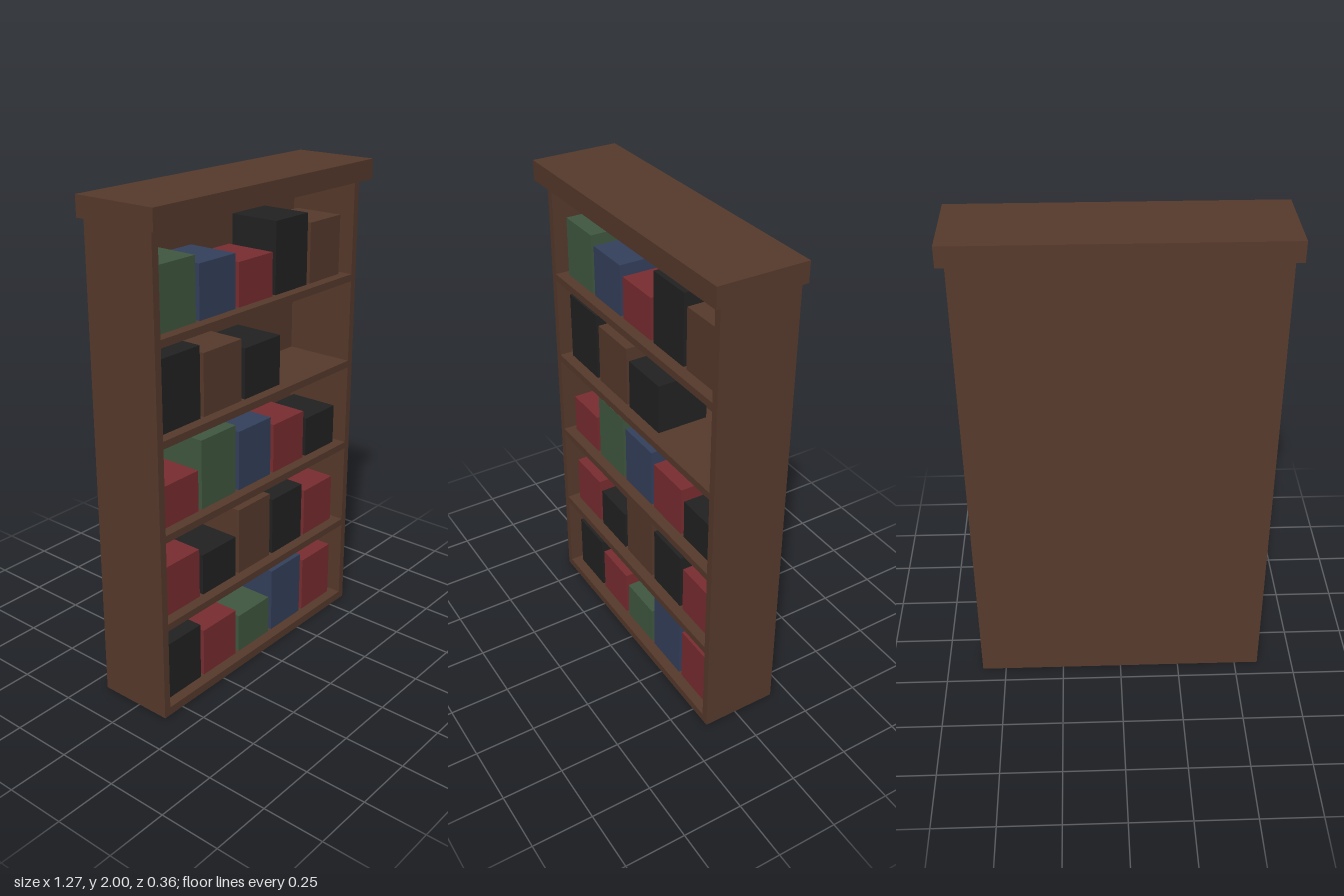
import * as THREE from 'three';

const mat = (name, color) => {
  const m = new THREE.MeshStandardMaterial({ color });
  m.name = name;
  return m;
};

export function createModel() {
  const group = new THREE.Group();
  group.name = 'bookcase';
  const wood = mat('brown wood', 0x573a2c);
  const colours = {
    n: wood,
    k: mat('black cover', 0x222222),
    r: mat('red cover', 0x7a2d30),
    g: mat('green cover', 0x405840),
    b: mat('blue cover', 0x34405c),
  };

  // Box given by its lower and upper limits on each axis
  const box = (name, material, [x0, x1], [y0, y1], [z0, z1]) => {
    const mesh = new THREE.Mesh(new THREE.BoxGeometry(x1 - x0, y1 - y0, z1 - z0), material);
    mesh.position.set((x0 + x1) / 2, (y0 + y1) / 2, (z0 + z1) / 2);
    mesh.name = name;
    group.add(mesh);
  };

  // Carcass
  const back = -0.18, front = 0.14, inner = 0.57;
  box('leftSide', wood, [inner, 0.6], [0, 1.92], [back, front]);
  box('rightSide', wood, [-0.6, -inner], [0, 1.92], [back, front]);
  box('backPanel', wood, [-inner, inner], [0, 1.92], [back, back + 0.02]);
  box('cornice', wood, [-0.633, 0.633], [1.92, 2], [back, 0.18]);

  // Each row of books, bottom to top: colours and heights
  const rows = [
    ['krgbr', [0.245, 0.207, 0.17, 0.285, 0.245]],
    ['rknkr', [0.21, 0.175, 0.285, 0.25, 0.21]],
    ['rgbrk', [0.17, 0.285, 0.25, 0.21, 0.17]],
    ['knk', [0.285, 0.25, 0.207]],
    ['gbrkn', [0.245, 0.21, 0.173, 0.288, 0.245]],
  ];
  rows.forEach(([covers, heights], row) => {
    const top = 0.035 + row * 0.375;
    box('shelf', wood, [-inner, inner], [row ? top - 0.03 : 0, top], [back + 0.02, front]);
    const pitch = covers.length === 5 ? 0.22 : 0.238;
    heights.forEach((h, i) => {
      const x = -0.54 + i * pitch;
      box('books', colours[covers[i]], [x, x + pitch - 0.02], [top, top + h], [-0.12, 0.096]);
    });
  });
  return group;
}
